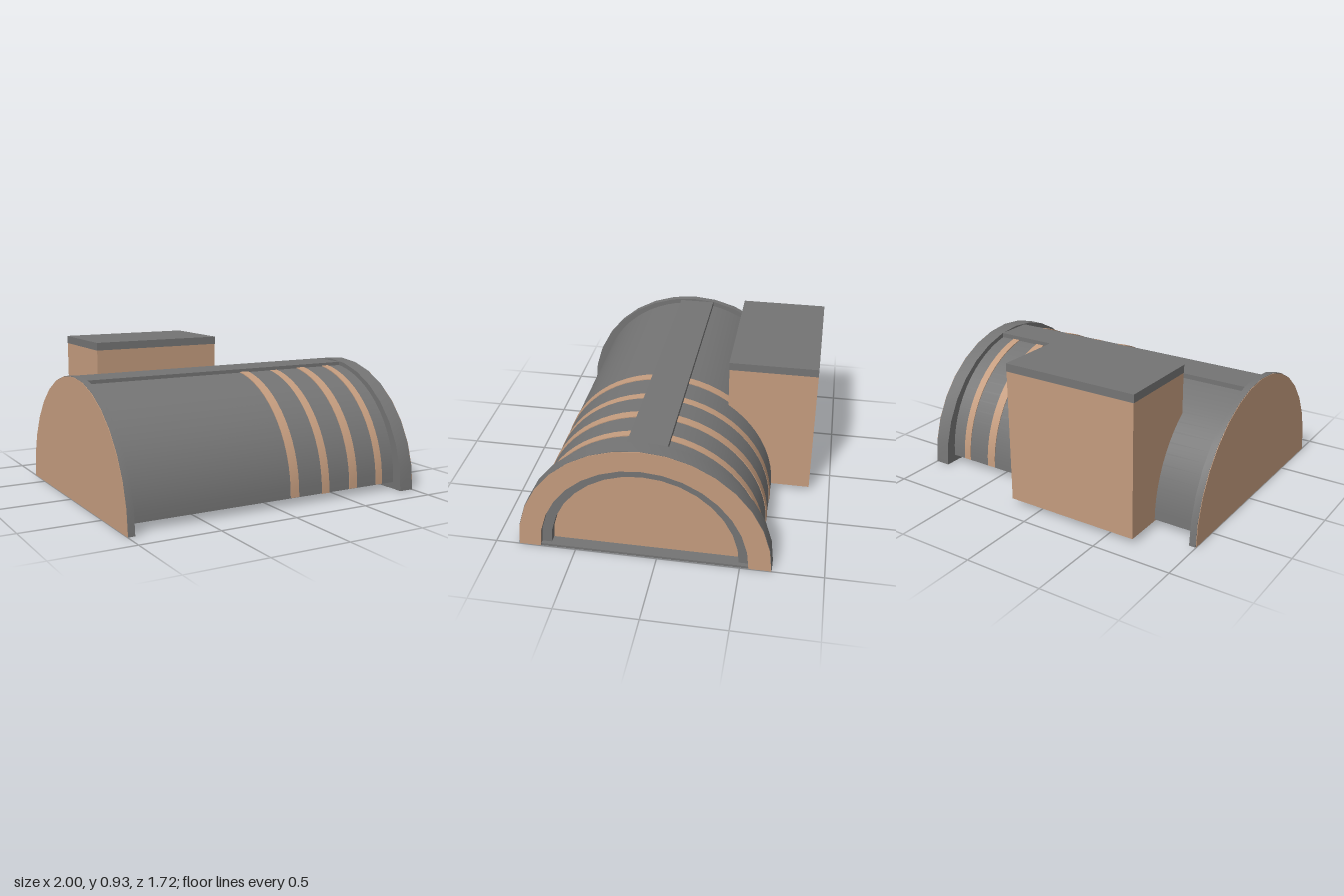
import * as THREE from 'three';
import { toCreasedNormals } from 'three/addons/utils/BufferGeometryUtils.js';

const grey = new THREE.MeshStandardMaterial({ color: 0x747474 });
const tan = new THREE.MeshStandardMaterial({ color: 0xc49c7e });
const CENTRE_Z = 0.082;

// Half disc, or half ring when inner > 0, extruded along x from x0 to x1
function archGeometry(outer, inner, x0, x1, segments) {
  const points = [];
  for (let i = 0; i <= segments; i++) {
    const a = (Math.PI * i) / segments;
    points.push(new THREE.Vector2(Math.cos(a) * outer, Math.sin(a) * outer));
  }
  if (inner > 0) {
    for (let i = segments; i >= 0; i--) {
      const a = (Math.PI * i) / segments;
      points.push(new THREE.Vector2(Math.cos(a) * inner, Math.sin(a) * inner));
    }
  }
  const g = new THREE.ExtrudeGeometry(new THREE.Shape(points), { depth: x1 - x0, bevelEnabled: false });
  g.rotateY(Math.PI / 2);
  g.translate(x0, 0, 0);
  return toCreasedNormals(g, 0.5);
}

export function createModel() {
  const model = new THREE.Group();

  const add = (name, geometry, material, x = 0, y = 0, z = 0) => {
    const mesh = new THREE.Mesh(geometry, material);
    mesh.name = name;
    mesh.position.set(x, y, z);
    model.add(mesh);
    return mesh;
  };
  const arch = (name, material, outer, inner, x0, x1, y, segments = 16) =>
    add(name, archGeometry(outer, inner, x0, x1, segments), material, 0, y, CENTRE_Z);
  const box = (name, material, x0, x1, y0, y1, z0, z1) =>
    add(name, new THREE.BoxGeometry(x1 - x0, y1 - y0, z1 - z0), material,
      (x0 + x1) / 2, (y0 + y1) / 2, (z0 + z1) / 2);

  // Vaulted hall
  arch('vault', grey, 0.7, 0, -0.96, 0.91, 0.05, 32);
  box('roofRidge', grey, -0.955, 0.9, 0.7, 0.765, -0.06, 0.178);

  // Coloured bands; only the second one wraps under the floor
  [[0.105, 0.165], [0.335, 0.39], [0.545, 0.605], [0.755, 0.805]].forEach(([x0, x1], i) => {
    arch('band' + (i + 1), tan, 0.703, 0, x0, x1, i === 1 ? 0.048 : 0.052, 32);
  });

  // Closed end wall
  arch('backEndRim', grey, 0.777, 0, -0.997, -0.955, 0.004);
  arch('backEndFace', tan, 0.775, 0, -1, -0.996, 0.004);

  // Open end: portal, trim, recessed door and sill
  arch('portalRim', grey, 0.772, 0.635, 0.9, 0.997, 0.006);
  arch('portalFace', tan, 0.77, 0.635, 0.996, 1, 0.006);
  arch('portalTrim', grey, 0.637, 0.575, 0.9, 0.97, 0.006);
  arch('door', tan, 0.6, 0, 0.9, 0.92, 0.006);
  box('sill', grey, 0.9, 0.995, 0.004, 0.02, CENTRE_Z - 0.65, CENTRE_Z + 0.65);

  // Side annex
  box('annexWalls', tan, -0.68, 0.195, 0.04, 0.88, -0.865, -0.318);
  box('annexRoof', grey, -0.682, 0.197, 0.88, 0.93, -0.865, -0.316);

  return model;
}
